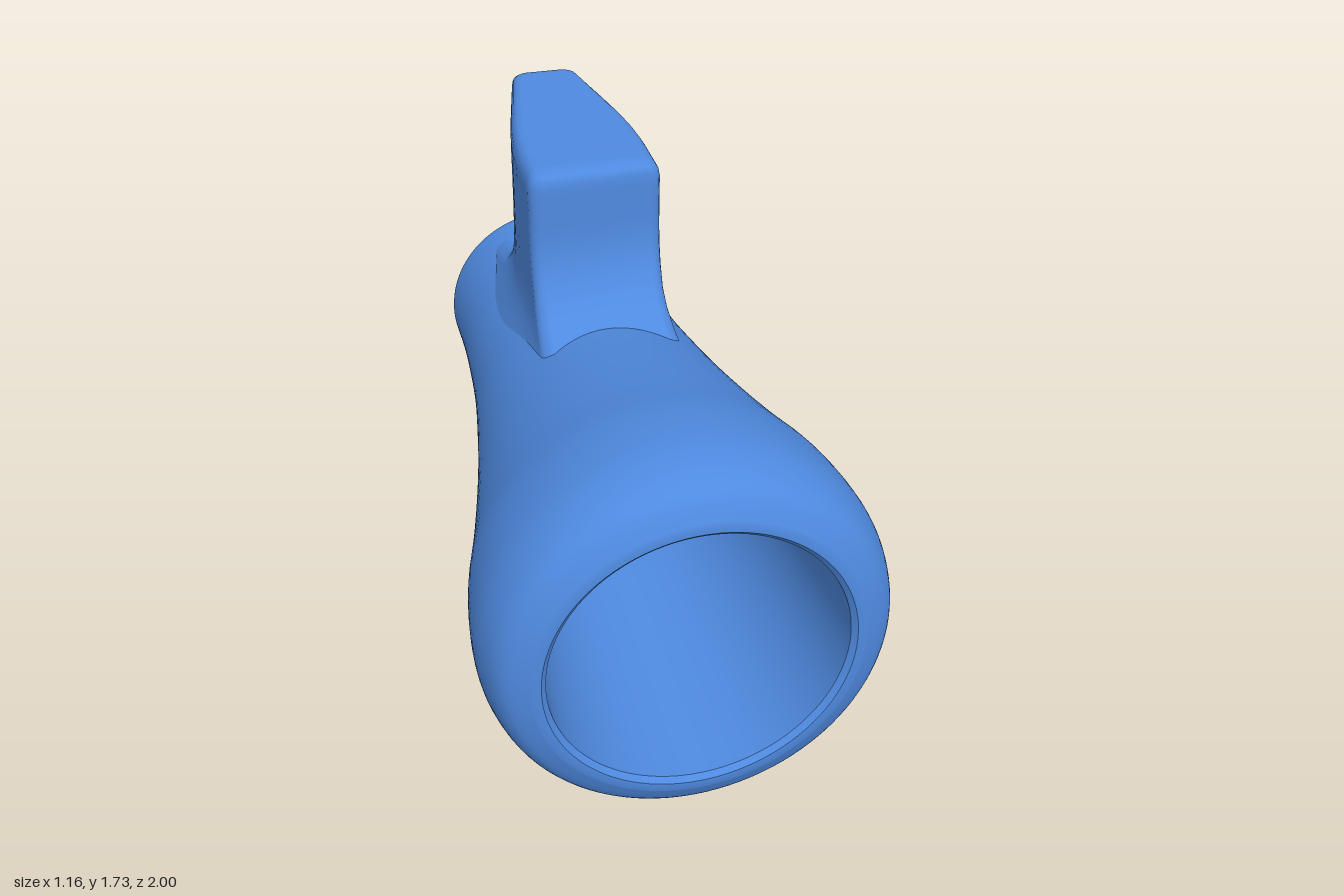
import * as THREE from 'three';
import { toCreasedNormals } from 'three/addons/utils/BufferGeometryUtils.js';

const AXIS_Y = 0.865;
const material = new THREE.MeshStandardMaterial({ color: 0x4f8ae0 });

// Piecewise-linear lookup in a list of [key, value], keys descending
function lookup(table, k) {
  if (k >= table[0][0]) return table[0][1];
  for (let i = 1; i < table.length; i++) {
    const [k0, v0] = table[i - 1], [k1, v1] = table[i];
    if (k >= k1) return v0 + (v1 - v0) * (k0 - k) / (k0 - k1);
  }
  return table[table.length - 1][1];
}

// Flared hollow barrel turned about the z axis
function barrelGeometry() {
  const v = (r, z) => new THREE.Vector2(r, z);
  const outer = new THREE.SplineCurve([
    v(0.335, -0.985), v(0.335, -0.8), v(0.345, -0.6), v(0.362, -0.4), v(0.39, -0.2),
    v(0.423, 0), v(0.463, 0.2), v(0.508, 0.4), v(0.558, 0.6), v(0.578, 0.78),
    v(0.565, 0.89), v(0.53, 0.96), v(0.46, 1),
  ]).getPoints(72);
  const points = [
    v(0.245, -0.985), v(0.26, -0.997), v(0.275, -1), v(0.325, -1), v(0.333, -0.995),
    ...outer,
    v(0.435, 1), v(0.42, 0.985), // front lip
    v(0.34, -0.1), v(0.245, -0.1), // bore shoulder
    v(0.245, -0.985),
  ];
  const g = new THREE.LatheGeometry(points, 96);
  g.rotateX(Math.PI / 2);
  return toCreasedNormals(g, 0.6);
}

// Hooked lug: horizontal sections stacked upward from the barrel axis
// [height, front z, back z, base flare, side inset]
const rows = [
  [0.325, -0.10, -0.90, 0.07, 0],
  [0.345, -0.03, -0.82, 0.055, 0],
  [0.365, 0.00, -0.75, 0.04, 0],
  [0.39, 0.03, -0.71, 0.024, 0],
  [0.42, 0.01, -0.68, 0.012, 0],
  [0.44, -0.04, -0.667, 0.007, 0],
  [0.465, -0.10, -0.652, 0.003, 0],
  [0.50, -0.145, -0.638, 0, 0],
  [0.55, -0.178, -0.625, 0, 0],
  [0.60, -0.195, -0.62, 0, 0],
  [0.65, -0.202, -0.62, 0, 0],
  [0.70, -0.203, -0.623, 0, 0],
  [0.735, -0.203, -0.635, 0, 0],
  [0.76, -0.203, -0.66, 0, 0],
  [0.772, -0.203, -0.70, 0, 0],
  [0.775, -0.203, -0.74, 0, 0],
  [0.777, -0.203, -0.94, 0, 0],
  [0.787, -0.203, -0.97, 0, 0],
  [0.81, -0.203, -0.985, 0, 0],
  [0.835, -0.205, -0.985, 0, 0.004],
  [0.852, -0.212, -0.975, 0, 0.014],
  [0.861, -0.228, -0.96, 0, 0.028],
  [0.865, -0.26, -0.94, 0, 0.05],
];
const halfWidths = [[-0.4, 0.2], [-0.5, 0.193], [-0.6, 0.179], [-0.7, 0.16], [-0.8, 0.139], [-0.9, 0.118], [-0.985, 0.1]];

function lugGeometry() {
  const n = 24, ring = 2 * (n + 1), corner = 0.035, R = 0.4;
  const pos = [], idx = [];
  for (const [h, zf, zb, flare, inset] of rows) {
    const wrap = 1 - THREE.MathUtils.smoothstep(h, 0.42, 0.64);
    const right = [], left = [];
    for (let i = 0; i <= n; i++) {
      const z = zf + (zb - zf) * (1 - Math.cos(Math.PI * i / n)) / 2;
      const c = THREE.MathUtils.clamp(corner - Math.min(zf - z, z - zb), 0, corner);
      const w = lookup(halfWidths, z);
      const x = w * (1 - inset / 0.2) + flare - corner + Math.sqrt(corner * corner - c * c);
      // The foot follows the round of the barrel
      const y = h - wrap * (R - Math.sqrt(R * R - x * x));
      right.push([x, y, z]);
      left.unshift([-x, y, z]);
    }
    pos.push(...right.flat(), ...left.flat());
  }
  for (let r = 0; r < rows.length - 1; r++) {
    for (let i = 0; i < ring; i++) {
      const a = r * ring + i, b = r * ring + (i + 1) % ring;
      idx.push(a, b, b + ring, a, b + ring, a + ring);
    }
  }
  // Flat outer face
  const top = (rows.length - 1) * ring;
  for (let i = 0; i < n; i++) {
    const a = top + i, b = top + i + 1, c = top + ring - 2 - i, d = top + ring - 1 - i;
    idx.push(a, b, c, a, c, d);
  }
  const g = new THREE.BufferGeometry();
  g.setAttribute('position', new THREE.Float32BufferAttribute(pos, 3));
  g.setIndex(idx);
  g.computeVertexNormals();
  return g;
}

export function createModel() {
  const model = new THREE.Group();
  model.name = 'flaredNozzle';

  const barrel = new THREE.Mesh(barrelGeometry(), material);
  barrel.name = 'barrel';
  barrel.position.y = AXIS_Y;
  model.add(barrel);

  // Matching lugs above and below
  const lug = lugGeometry();
  for (const [name, turn] of [['upperLug', 0], ['lowerLug', Math.PI]]) {
    const mesh = new THREE.Mesh(lug, material);
    mesh.name = name;
    mesh.position.y = AXIS_Y;
    mesh.rotation.z = turn;
    model.add(mesh);
  }
  return model;
}
